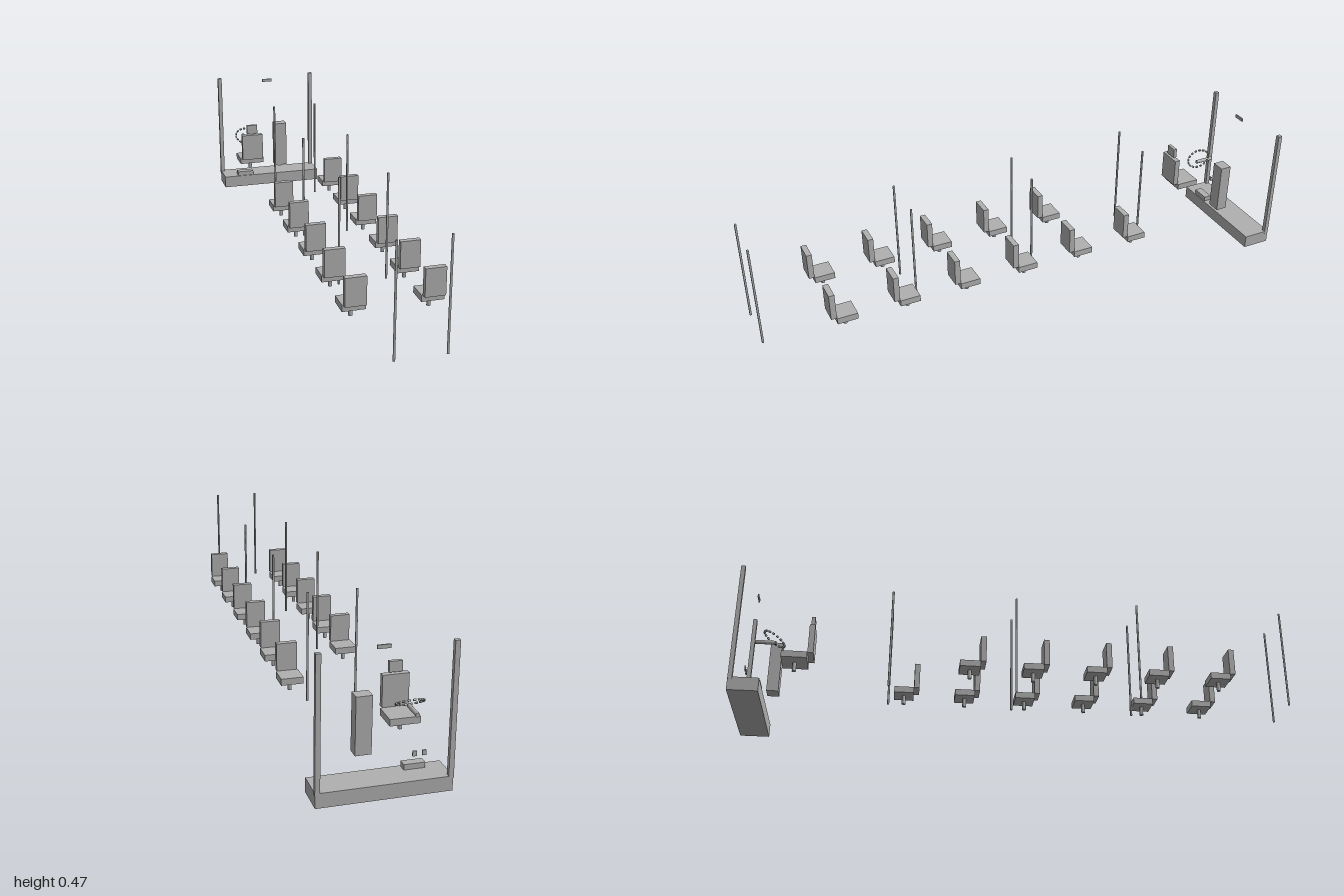
import * as THREE from 'three';

export function createModel() {
  const model = new THREE.Group();
  model.name = 'busInterior';
  const grey = new THREE.MeshStandardMaterial({ color: 0xb0b0b0 });
  grey.name = 'grey';

  function add(parent, name, geometry) {
    const mesh = new THREE.Mesh(geometry, grey);
    mesh.name = name;
    parent.add(mesh);
    return mesh;
  }

  // Box given by its lower and upper limits on each axis
  function box(parent, name, [x0, x1], [y0, y1], [z0, z1]) {
    const mesh = add(parent, name, new THREE.BoxGeometry(x1 - x0, y1 - y0, z1 - z0));
    mesh.position.set((x0 + x1) / 2, (y0 + y1) / 2, (z0 + z1) / 2);
    return mesh;
  }

  // Seat facing -z; z is the joint between cushion and backrest
  function seat(name, x, z, cushionHalf, backHalf, backTop, depth) {
    const group = new THREE.Group();
    group.name = name;
    group.position.set(x, 0, z);
    box(group, 'cushion', [-cushionHalf, cushionHalf], [0.152, 0.175], [-depth, 0]);
    box(group, 'backrest', [-backHalf, backHalf], [0.175, backTop], [0, 0.02]);
    const post = add(group, 'seatPost', new THREE.CylinderGeometry(0.007, 0.007, 0.032, 12));
    post.position.set(0, 0.136, -depth / 2);
    model.add(group);
    return group;
  }

  // Passenger seats: six on the left, five on the right
  for (let row = 0; row < 6; row++) {
    const z = 0.755 - row * 0.2257;
    seat('leftSeat', 0.129, z, 0.0385, 0.035, 0.272, 0.073);
    if (row < 5) seat('rightSeat', -0.129, z, 0.0385, 0.035, 0.272, 0.073);
  }

  // Driver seat with headrest
  const driver = seat('driverSeat', -0.119, -0.75, 0.05, 0.044, 0.283, 0.089);
  box(driver, 'headrest', [-0.022, 0.022], [0.289, 0.325], [0.003, 0.016]);

  // Pairs of hand poles along the aisle
  for (const z of [0.996, 0.442, -0.012, -0.466]) {
    for (const side of [-1, 1]) {
      const pole = add(model, 'handPole', new THREE.CylinderGeometry(0.004, 0.004, 0.377, 8));
      pole.position.set(side * 0.0835, 0.2865, z);
    }
  }

  // Dashboard, binnacle and windscreen pillars
  box(model, 'dashboard', [-0.212, 0.212], [0, 0.048], [-1, -0.896]);
  box(model, 'instrumentPanel', [-0.152, -0.084], [0.048, 0.066], [-0.928, -0.9]);
  box(model, 'rightPillar', [-0.214, -0.198], [0.04, 0.475], [-1, -0.985]);
  box(model, 'leftPillar', [0.197, 0.213], [0.04, 0.475], [-1, -0.985]);

  // Fare box, mirror and pedals
  box(model, 'fareBox', [0.008, 0.06], [0.098, 0.288], [-0.898, -0.856]);
  box(model, 'mirror', [-0.021, 0.021], [0.456, 0.468], [-0.961, -0.956]);
  box(model, 'brakePedal', [-0.141, -0.129], [0.106, 0.123], [-0.959, -0.955]);
  box(model, 'acceleratorPedal', [-0.111, -0.098], [0.106, 0.123], [-0.959, -0.955]);

  // Steering wheel: a tilted ring of short grips
  const wheel = new THREE.Group();
  wheel.name = 'steeringWheel';
  wheel.position.set(-0.119, 0.24, -0.871);
  wheel.rotation.x = 0.57;
  for (let i = 0; i < 16; i++) {
    const a = (i / 16) * Math.PI * 2;
    const grip = add(wheel, 'wheelGrip', new THREE.BoxGeometry(0.006, 0.006, 0.009));
    grip.position.set(Math.cos(a) * 0.043, 0, Math.sin(a) * 0.043);
    grip.rotation.y = -a;
  }
  model.add(wheel);

  // Steering column
  const column = add(model, 'steeringColumn', new THREE.CylinderGeometry(0.007, 0.007, 0.072, 12));
  column.rotation.x = Math.PI / 2;
  column.position.set(-0.119, 0.226, -0.9);

  return model;
}
